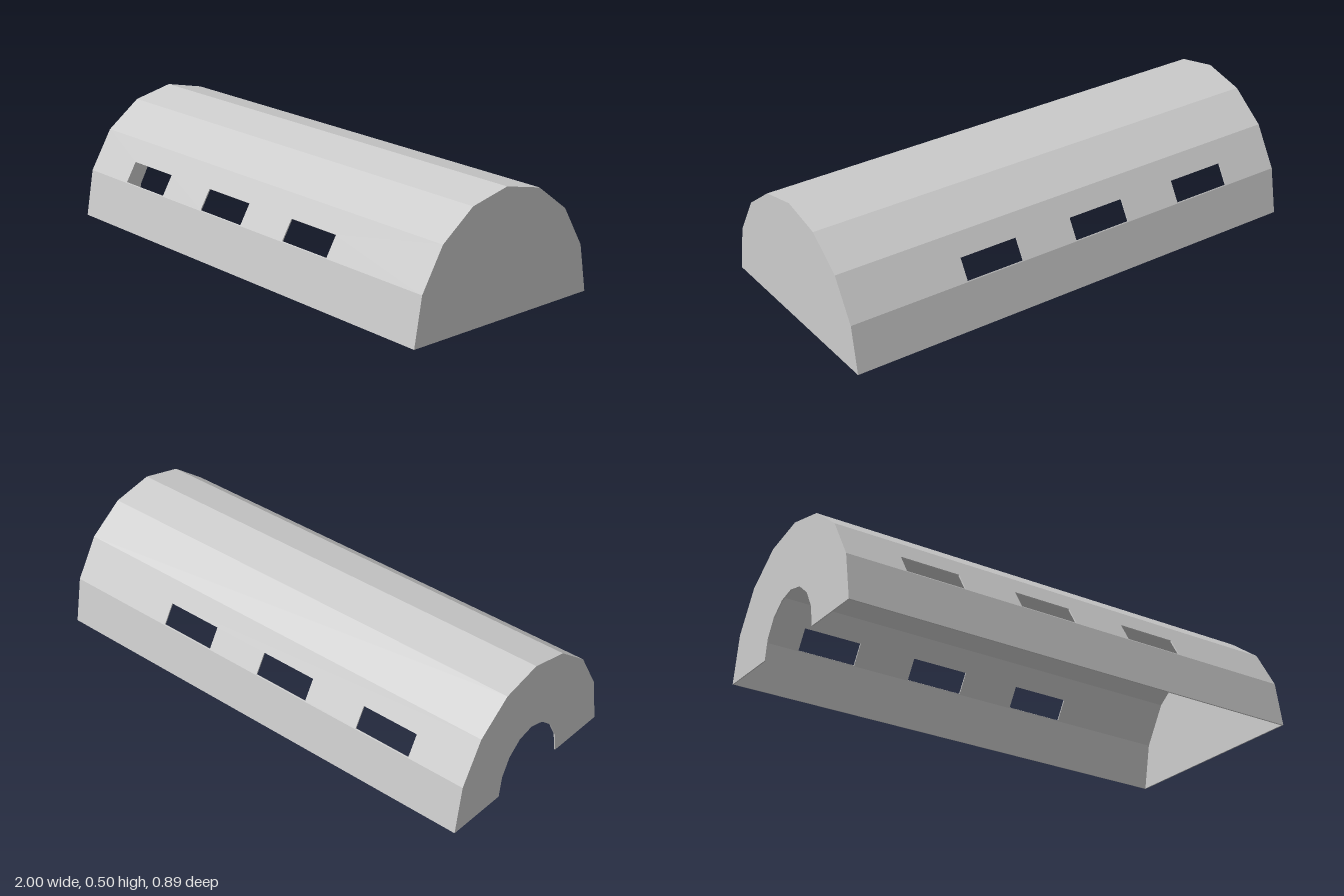
import * as THREE from 'three';

const WALL = 0.005;
const HALF = 1;
// vault profile as [z, y], from the front foot over the ridge to the back foot
const side = [[0.444, 0], [0.41, 0.192], [0.314, 0.354], [0.17, 0.462]];
const profile = [...side, [0, 0.5], ...side.map(([z, y]) => [-z, y]).reverse()];
const windowStarts = [-0.75, -0.25, 0.25];
const WINDOW_WIDTH = 0.25;

const material = new THREE.MeshStandardMaterial({ color: 0xcccccc, flatShading: true });

const polygon = (Type, pts) => new Type(pts.map(([x, y]) => new THREE.Vector2(x, y)));
const rect = (Type, x0, x1, y0, y1) => polygon(Type, [[x0, y0], [x1, y0], [x1, y1], [x0, y1]]);
const extrude = (shape) => new THREE.ExtrudeGeometry(shape, { depth: WALL, bevelEnabled: false });

function addMesh(parent, geometry, name) {
  const mesh = new THREE.Mesh(geometry, material);
  mesh.name = name;
  parent.add(mesh);
}

// one flat strip of the vault; windows = [low, high] as fractions of its width
function panelGeometry([z0, y0], [z1, y1], windows) {
  const along = new THREE.Vector3(0, y1 - y0, z1 - z0);
  const width = along.length();
  along.normalize();
  const shape = rect(THREE.Shape, -HALF + WALL, HALF - WALL, 0, width);
  if (windows) {
    for (const x of windowStarts) {
      shape.holes.push(rect(THREE.Path, x, x + WINDOW_WIDTH, windows[0] * width, windows[1] * width));
    }
  }
  const xAxis = new THREE.Vector3(1, 0, 0);
  const normal = xAxis.clone().cross(along);
  const place = new THREE.Matrix4().makeBasis(xAxis, along, normal).setPosition(0, y0, z0);
  return extrude(shape).translate(0, 0, -WALL).applyMatrix4(place);
}

// end wall whose outer or inner face lies at x
const endWallGeometry = (shape, x) => extrude(shape).rotateY(-Math.PI / 2).translate(x, 0, 0);

export function createModel() {
  const model = new THREE.Group();
  model.name = 'vaultedShelter';

  // faceted roof and side walls, windows in the second strip on each side
  const vault = new THREE.Group();
  vault.name = 'vault';
  for (let i = 0; i < profile.length - 1; i++) {
    const windows = i === 1 ? [0.02, 0.5] : i === 6 ? [0.5, 0.98] : null;
    addMesh(vault, panelGeometry(profile[i], profile[i + 1], windows), windows ? 'windowPanel' : 'vaultPanel');
  }
  model.add(vault);

  // closed end
  addMesh(model, endWallGeometry(polygon(THREE.Shape, profile), HALF), 'closedEndWall');

  // end with an arched doorway that echoes the vault
  const doorway = profile.map(([z, y]) => [z * 0.405, y * 0.44]).reverse();
  const archShape = polygon(THREE.Shape, [...profile, ...doorway]);
  addMesh(model, endWallGeometry(archShape, -HALF + WALL), 'doorwayEndWall');

  return model;
}
